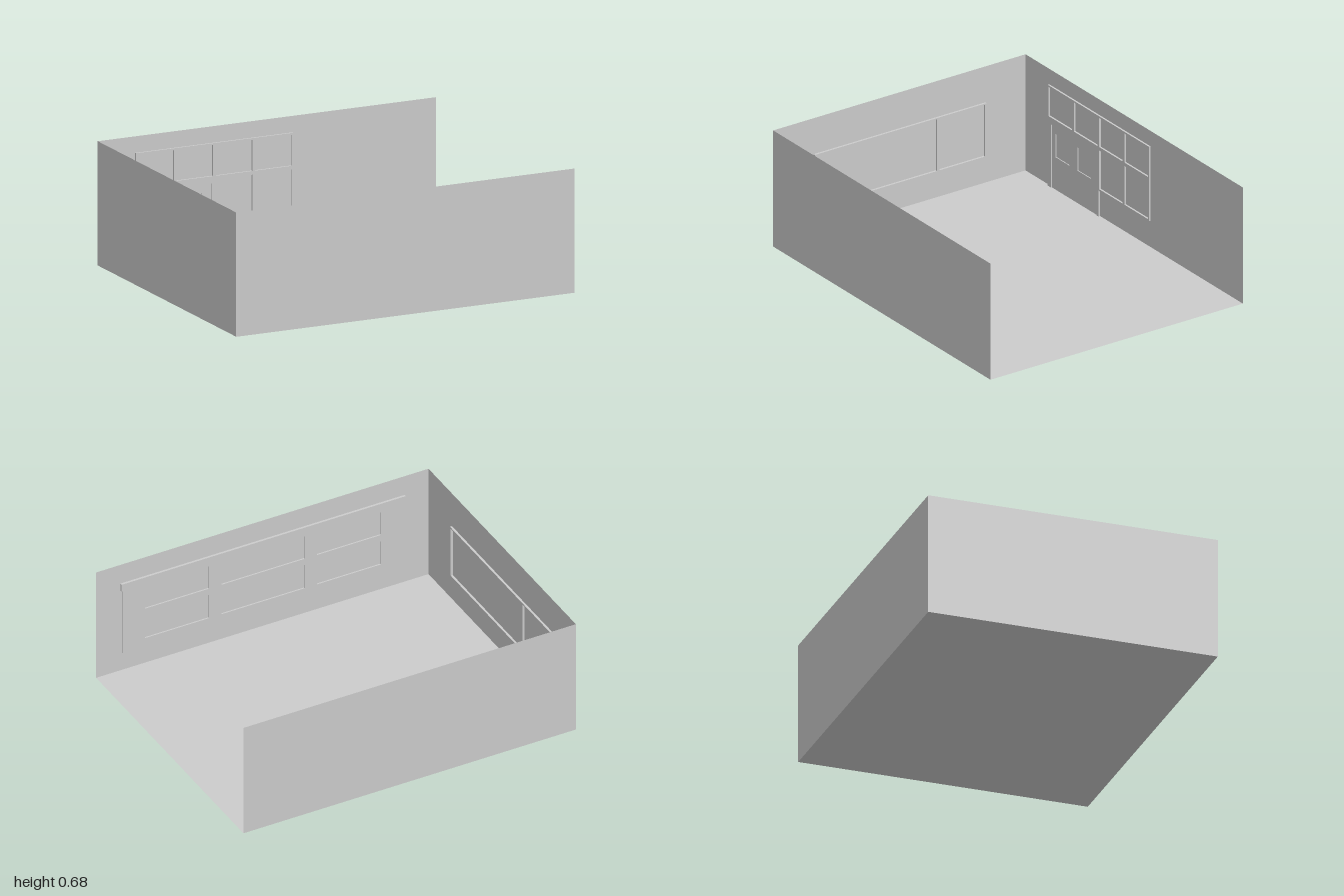
import * as THREE from 'three';

const W = 2, D = 1.63, H = 0.68;
const grey = new THREE.MeshStandardMaterial({ color: 0xcccccc, flatShading: true });
const sheet = new THREE.MeshStandardMaterial({ color: 0xcccccc, flatShading: true, side: THREE.DoubleSide });

// Closed outline through [x, y] corners
const outline = (Type, pts) => new Type(pts.map(([x, y]) => new THREE.Vector2(x, y)));
const rect = (x0, x1, y0, y1) => [[x0, y0], [x1, y0], [x1, y1], [x0, y1]];

// Flat panel with openings, standing just off the wall it is added to
function panel(name, corners, openings, depth) {
  const shape = outline(THREE.Shape, corners);
  shape.holes = openings.map(o => outline(THREE.Path, rect(...o).reverse()));
  const geo = new THREE.ExtrudeGeometry(shape, { depth: depth - 0.0005, bevelEnabled: false });
  const mesh = new THREE.Mesh(geo, grey);
  mesh.name = name;
  mesh.position.z = 0.0005;
  return mesh;
}

// Thin wall whose inner face looks along local +z, with the fittings on it
function wall(name, width, x, z, turn, fittings) {
  const group = new THREE.Group();
  group.name = name;
  const mesh = new THREE.Mesh(new THREE.PlaneGeometry(width, H), sheet);
  mesh.name = name + 'Surface';
  mesh.position.y = H / 2;
  group.add(mesh, ...fittings);
  group.position.set(x, 0, z);
  group.rotation.y = turn;
  return group;
}

export function createModel() {
  const room = new THREE.Group();
  room.name = 'room';

  // Floor
  const floor = new THREE.Mesh(new THREE.PlaneGeometry(W, D), sheet);
  floor.name = 'floor';
  floor.rotation.x = -Math.PI / 2;
  room.add(floor);

  // Back wall: door beside two windows, below a row of four top lights
  const L = -0.78, R = 0.15, M = -0.315, pitch = (R - L) / 4, bar = 0.008;
  const lights = [];
  for (let i = 0; i < 4; i++) {
    const x0 = L + i * pitch + bar, x1 = L + (i + 1) * pitch - bar;
    lights.push([x0, x1, 0.41, 0.58]);
    if (i > 1) lights.push([x0, x1, 0.163, 0.39]);
  }
  const frame = panel('doorAndWindowFrame',
    [[L, 0], [L + 0.03, 0], [L + 0.03, 0.37], [M - 0.015, 0.37], [M - 0.015, 0], [M, 0],
      [M, 0.153], [R, 0.153], [R, 0.59], [L, 0.59]], lights, 0.011);
  const door = panel('door', rect(L + 0.03, M - 0.015, 0, 0.37),
    [[-0.714, -0.588, 0.19, 0.325], [-0.512, -0.39, 0.19, 0.325]], 0.006);
  room.add(wall('backWall', W, 0, -D / 2, 0, [frame, door]));

  // Front wall: wide window of three columns and two rows under a top board
  const panes = [];
  for (const [x0, x1] of [[-0.71, -0.325], [-0.25, 0.25], [0.325, 0.71]]) {
    panes.push([x0, x1, 0.165, 0.315], [x0, x1, 0.355, 0.5]);
  }
  const wide = panel('wideWindowFrame', rect(-0.845, 0.845, 0.11, 0.515), panes, 0.009);
  const board = panel('topBoard', rect(-0.855, 0.855, 0.515, 0.56), [], 0.014);
  room.add(wall('frontWall', W, 0, D / 2, Math.PI, [wide, board]));

  // Side wall: window with one wide and one narrow pane
  const side = panel('sideWindowFrame', rect(-0.555, 0.555, 0.15, 0.47),
    [[-0.545, 0.235, 0.16, 0.462], [0.25, 0.545, 0.16, 0.462]], 0.013);
  room.add(wall('sideWall', D, -W / 2, 0, Math.PI / 2, [side]));

  return room;
}
